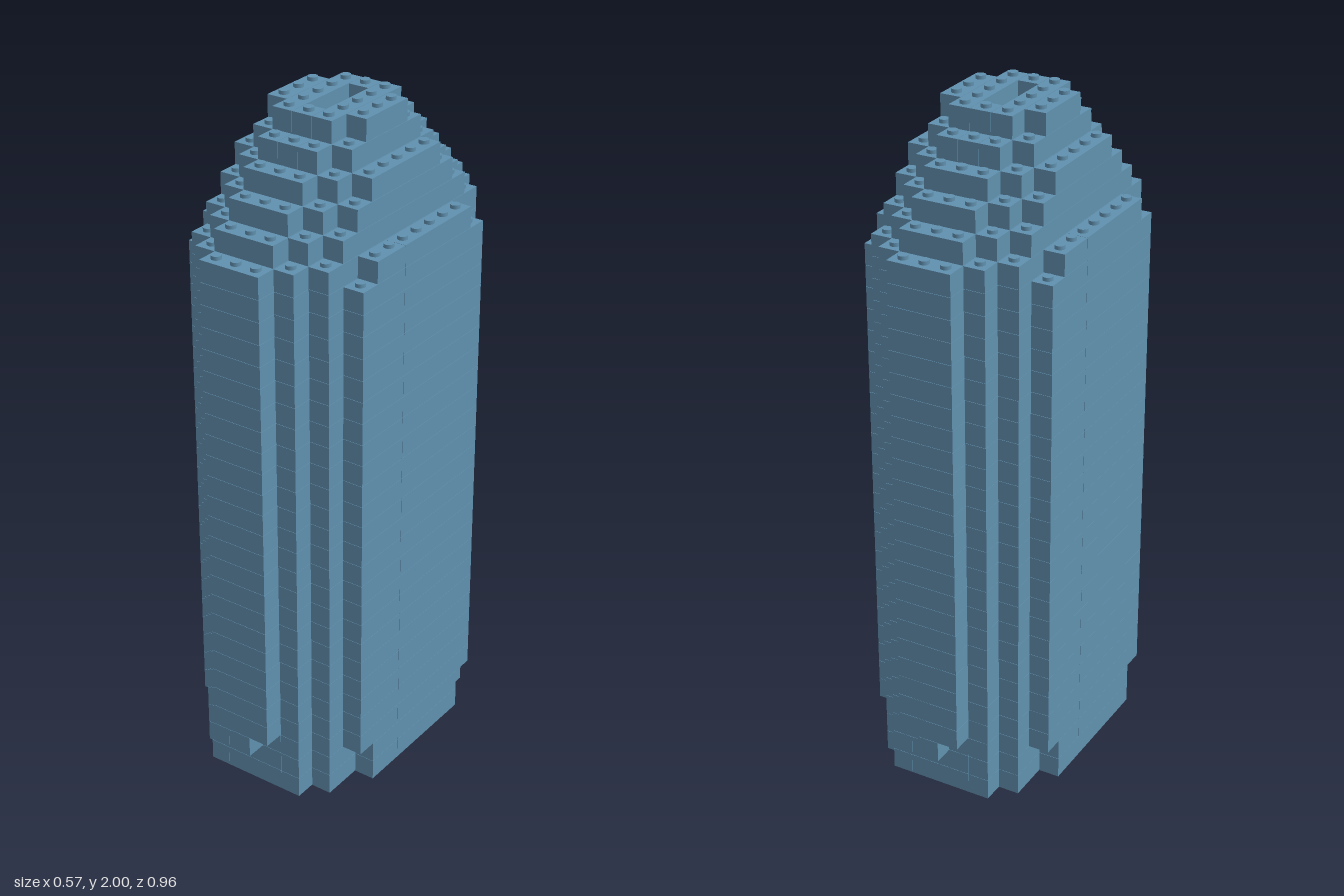
import * as THREE from 'three';
import { mergeGeometries } from 'three/addons/utils/BufferGeometryUtils.js';

const P = 0.064;          // stud pitch
const H = 0.0642;         // layer height
const GAP = 0.001;        // seam between bricks
const LAYERS = 31, BASE_TOP = 3, CROWN = 25;
const OUTLINE = [7, 7, 6, 5, 4]; // last row reached by column 0..4

// Last row filled by a column (0 = middle) in a layer, or -1 when empty
function reach(col, k) {
  if (k < 2) return col <= 1 ? 6 : col === 4 ? 3 : OUTLINE[col];
  if (k === 2) return col === 1 ? 6 : OUTLINE[col];
  if (k < CROWN) return OUTLINE[col];
  if (col === 4) return k === CROWN ? 3 : -1;
  if (col === 3 && k > 28) return -1;
  return OUTLINE[col] - (k - CROWN);
}

// Open shaft in the top of the crown
const isShaft = (col, row, k) => col === 0 && Math.abs(row) <= 1 && k >= 29;

function filled(col, row, k) {
  return k < LAYERS && Math.abs(row) <= reach(Math.abs(col), k) && !isShaft(col, row, k);
}

// Brick covering columns c0..c1 and rows r0..r1 of layer k
function brick(c0, c1, r0, r1, k) {
  const g = new THREE.BoxGeometry((c1 - c0 + 1) * P - GAP, H - GAP, (r1 - r0 + 1) * P - GAP);
  return g.translate((c0 + c1) / 2 * P, (k + 0.5) * H - GAP / 2, (r0 + r1) / 2 * P);
}

function layerBricks(k) {
  const out = [];
  const e0 = reach(0, k), e1 = reach(1, k);
  if (k >= 29) {
    // Ring around the shaft
    for (const s of [-1, 1]) out.push(brick(s, s, -e1, e1, k));
    out.push(brick(0, 0, 2, e0, k), brick(0, 0, -e0, -2, k));
  } else {
    out.push(brick(-1, 1, -e1, e1, k));
    // Single bricks hanging under the front and back faces
    if (e0 > e1) out.push(brick(0, 0, e0, e0, k), brick(0, 0, -e0, -e0, k));
  }
  for (let c = 2; c <= 4; c++) {
    const e = reach(c, k);
    if (e < 0) continue;
    for (const s of [-1, 1]) {
      if (c === 4) {
        // Long side walls have one upright seam, mirrored by a half turn
        const a = s > 0 ? 1 : -2;
        out.push(brick(s * c, s * c, -e, a, k), brick(s * c, s * c, a + 1, e, k));
      } else out.push(brick(s * c, s * c, -e, e, k));
    }
  }
  return out;
}

export function createModel() {
  const model = new THREE.Group();
  model.name = 'brickTower';
  const blue = new THREE.MeshStandardMaterial({ color: 0x6090ae });
  blue.name = 'dusty blue';

  const add = (name, parts) => {
    const mesh = new THREE.Mesh(mergeGeometries(parts), blue);
    mesh.name = name;
    model.add(mesh);
  };

  // Brick courses
  const section = (name, from, to) => {
    const parts = [];
    for (let k = from; k < to; k++) parts.push(...layerBricks(k));
    add(name, parts);
  };
  section('base', 0, BASE_TOP);
  section('towerShaft', BASE_TOP, CROWN);
  section('steppedCrown', CROWN, LAYERS);

  // Studs on every exposed brick top
  const studs = [];
  const studH = 2 - LAYERS * H + GAP;
  for (let c = -4; c <= 4; c++) {
    for (let r = -7; r <= 7; r++) {
      let k = LAYERS - 1;
      while (k >= 0 && !filled(c, r, k)) k--;
      if (k < 0) continue;
      const stud = new THREE.CylinderGeometry(0.0147, 0.0147, studH, 16);
      studs.push(stud.translate(c * P, (k + 1) * H - GAP + studH / 2, r * P));
    }
  }
  add('studs', studs);

  return model;
}
